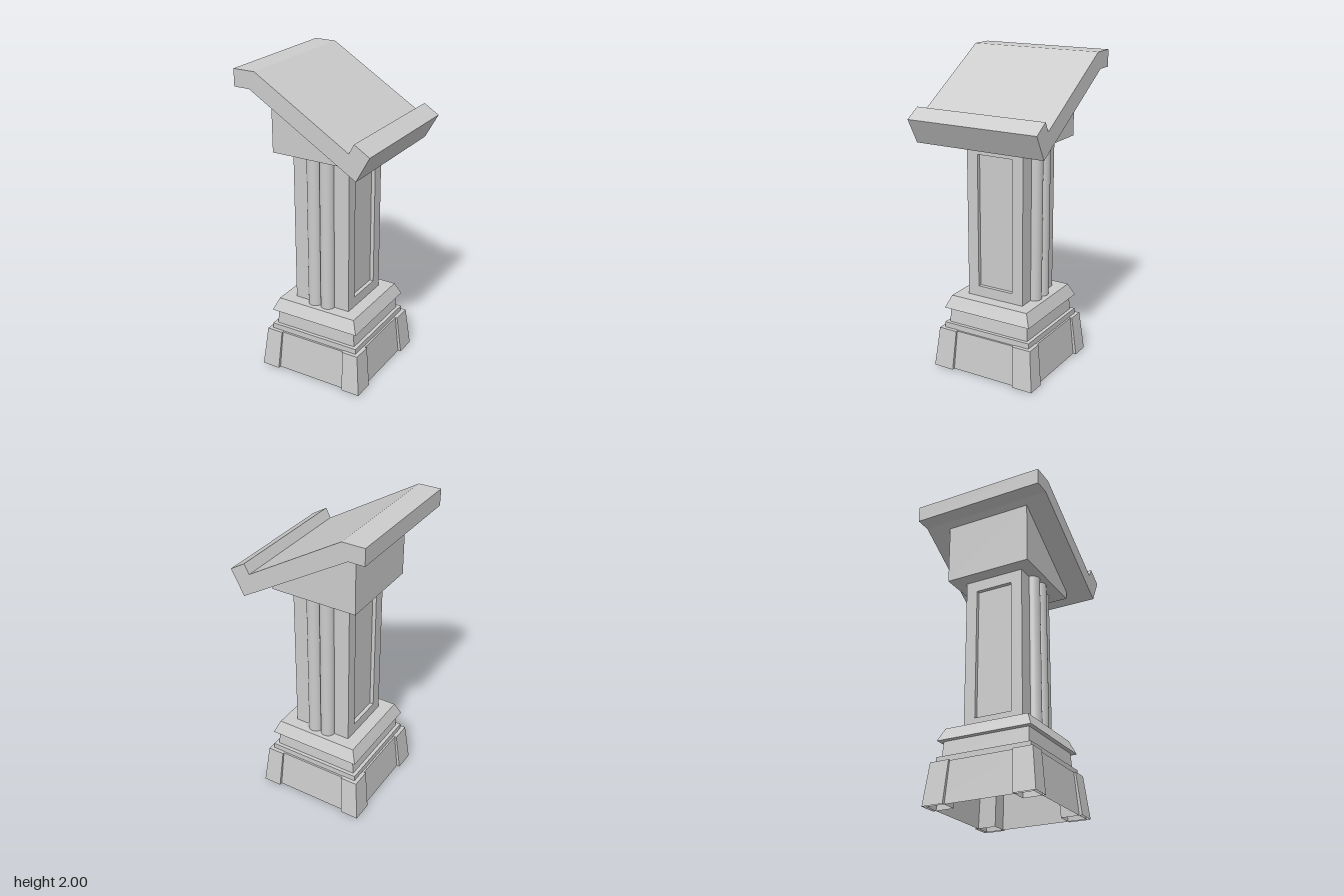
import * as THREE from 'three';

const CX = -0.018; // axis of the pedestal under the overhanging desk

export function createModel() {
  const group = new THREE.Group();
  group.name = 'lectern';
  const grey = new THREE.MeshStandardMaterial({ color: 0xcccccc });
  const greyOpen = new THREE.MeshStandardMaterial({ color: 0xcccccc, side: THREE.DoubleSide });

  function add(name, geometry, material = grey) {
    const mesh = new THREE.Mesh(geometry, material);
    mesh.name = name;
    group.add(mesh);
    return mesh;
  }

  // Box whose bottom and top rectangles [x0, x1, z0, z1] differ; may lack its bottom face
  function taperedBox(bottom, top, y0, y1, open = false) {
    const g = new THREE.BoxGeometry(1, 1, 1);
    const p = g.attributes.position;
    for (let i = 0; i < p.count; i++) {
      const up = p.getY(i) > 0;
      const r = up ? top : bottom;
      p.setXYZ(i, p.getX(i) < 0 ? r[0] : r[1], up ? y1 : y0, p.getZ(i) < 0 ? r[2] : r[3]);
    }
    if (open) {
      const index = Array.from(g.index.array);
      index.splice(18, 6);
      g.setIndex(index);
    }
    g.computeVertexNormals();
    return g;
  }
  const rect = (hx, hz = hx) => [CX - hx, CX + hx, -hz, hz];

  // Side profile in x, y extruded across z
  function slab(points, halfDepth) {
    const shape = new THREE.Shape(points.map(([x, y]) => new THREE.Vector2(x, y)));
    const g = new THREE.ExtrudeGeometry(shape, { depth: halfDepth * 2, bevelEnabled: false });
    return g.translate(0, 0, -halfDepth);
  }

  // Hollow plinth, open underneath
  add('plinth', taperedBox(rect(0.34), rect(0.32), 0, 0.26, true), greyOpen);

  // Tapered corner feet
  for (const sx of [-1, 1]) {
    for (const sz of [-1, 1]) {
      const span = (a, b, s, c) => [c + Math.min(a * s, b * s), c + Math.max(a * s, b * s)];
      const bottom = [...span(0.24, 0.36, sx, CX), ...span(0.222, 0.36, sz, 0)];
      const top = [...span(0.225, 0.333, sx, CX), ...span(0.207, 0.332, sz, 0)];
      add('cornerFoot', taperedBox(bottom, top, 0, 0.262, true), greyOpen);
    }
  }

  // Base mouldings
  add('baseStep', taperedBox(rect(0.308), rect(0.308), 0.26, 0.297));
  add('baseNeck', taperedBox(rect(0.285), rect(0.275, 0.28), 0.297, 0.397));
  add('baseCollar', taperedBox(rect(0.308), rect(0.273), 0.397, 0.477));

  // Column core with a recessed panel framed on each broad end
  const halfX = 0.193, halfZ = 0.197, recess = 0.025;
  const coreX = halfX - recess;
  add('columnCore', taperedBox(rect(coreX, halfZ), rect(coreX, halfZ), 0.477, 1.475));
  const frame = new THREE.Shape([
    new THREE.Vector2(-halfZ, 0.477), new THREE.Vector2(halfZ, 0.477),
    new THREE.Vector2(halfZ, 1.475), new THREE.Vector2(-halfZ, 1.475),
  ]);
  frame.holes.push(new THREE.Path([
    new THREE.Vector2(-0.122, 0.545), new THREE.Vector2(-0.122, 1.402),
    new THREE.Vector2(0.122, 1.402), new THREE.Vector2(0.122, 0.545),
  ]));
  for (const s of [-1, 1]) {
    const g = new THREE.ExtrudeGeometry(frame, { depth: recess, bevelEnabled: false });
    const panel = add('panelFrame', g);
    panel.rotation.y = s * Math.PI / 2;
    panel.position.x = CX + s * coreX;
  }

  // Paired round shafts on the front and back
  for (const sz of [-1, 1]) {
    for (const sx of [-1, 1]) {
      const shaft = add('roundShaft', new THREE.CylinderGeometry(0.046, 0.046, 0.998, 24));
      shaft.position.set(CX + sx * 0.045, 0.976, sz * 0.2);
    }
  }

  // Wedge carrying the sloping desk
  add('deskSupport', slab([[-0.3, 1.475], [0.265, 1.475], [0.265, 1.535], [-0.3, 1.876]], 0.283));

  // Sloping desk with a level rear edge and a raised book ledge
  add('desk', slab([
    [-0.443, 1.895], [-0.34, 1.895], [0.355, 1.475], [0.44, 1.63],
    [0.342, 1.69], [0.31, 1.63], [-0.3, 2], [-0.443, 2],
  ], 0.436));

  return group;
}
